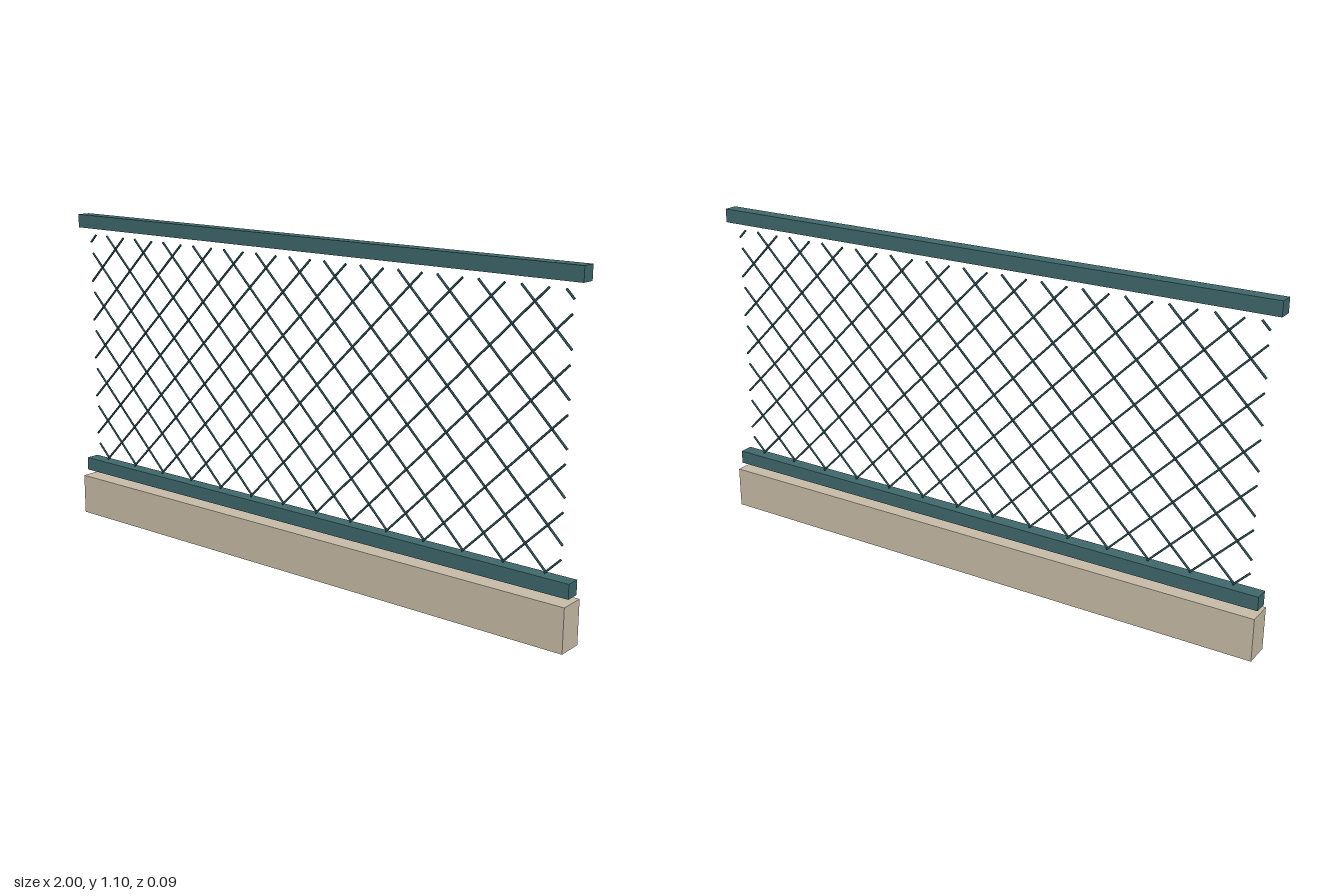
import * as THREE from 'three';

const mat = (name, color) => {
  const m = new THREE.MeshStandardMaterial({ color });
  m.name = name;
  return m;
};

export function createModel() {
  const fence = new THREE.Group();
  fence.name = 'meshFencePanel';
  const stone = mat('sandStone', 0xc8bca8);
  const teal = mat('tealPaint', 0x3f686c);
  const wireMat = mat('darkTealWire', 0x2f5052);

  // Full-length bar between two heights
  const bar = (name, y0, y1, depth, material) => {
    const m = new THREE.Mesh(new THREE.BoxGeometry(2, y1 - y0, depth), material);
    m.position.y = (y0 + y1) / 2;
    m.name = name;
    fence.add(m);
  };
  bar('basePlinth', 0, 0.141, 0.087, stone);
  bar('lowerRail', 0.159, 0.205, 0.047, teal);
  bar('upperRail', 1.053, 1.099, 0.047, teal);

  // Diagonal wires clipped to the panel opening, one layer per direction
  const halfW = 0.96, bottom = 0.212, top = 1.028, pitch = 0.14, radius = 0.0036;
  const mesh = new THREE.Group();
  mesh.name = 'wireMesh';
  for (const dir of [1, -1]) {
    for (let k = -14; k < 14; k++) {
      const foot = (k + 0.5) * pitch; // where the rising wire meets the bottom
      const x0 = Math.max(-halfW, foot);
      const x1 = Math.min(halfW, foot + top - bottom);
      if (x1 - x0 < 0.01) continue;
      const wire = new THREE.Mesh(
        new THREE.CylinderGeometry(radius, radius, (x1 - x0) * Math.SQRT2, 6), wireMat);
      wire.position.set(dir * (x0 + x1) / 2, bottom + (x0 + x1) / 2 - foot, dir * 0.0036);
      wire.rotation.z = -dir * Math.PI / 4;
      wire.name = dir > 0 ? 'risingWire' : 'fallingWire';
      mesh.add(wire);
    }
  }
  fence.add(mesh);
  return fence;
}
